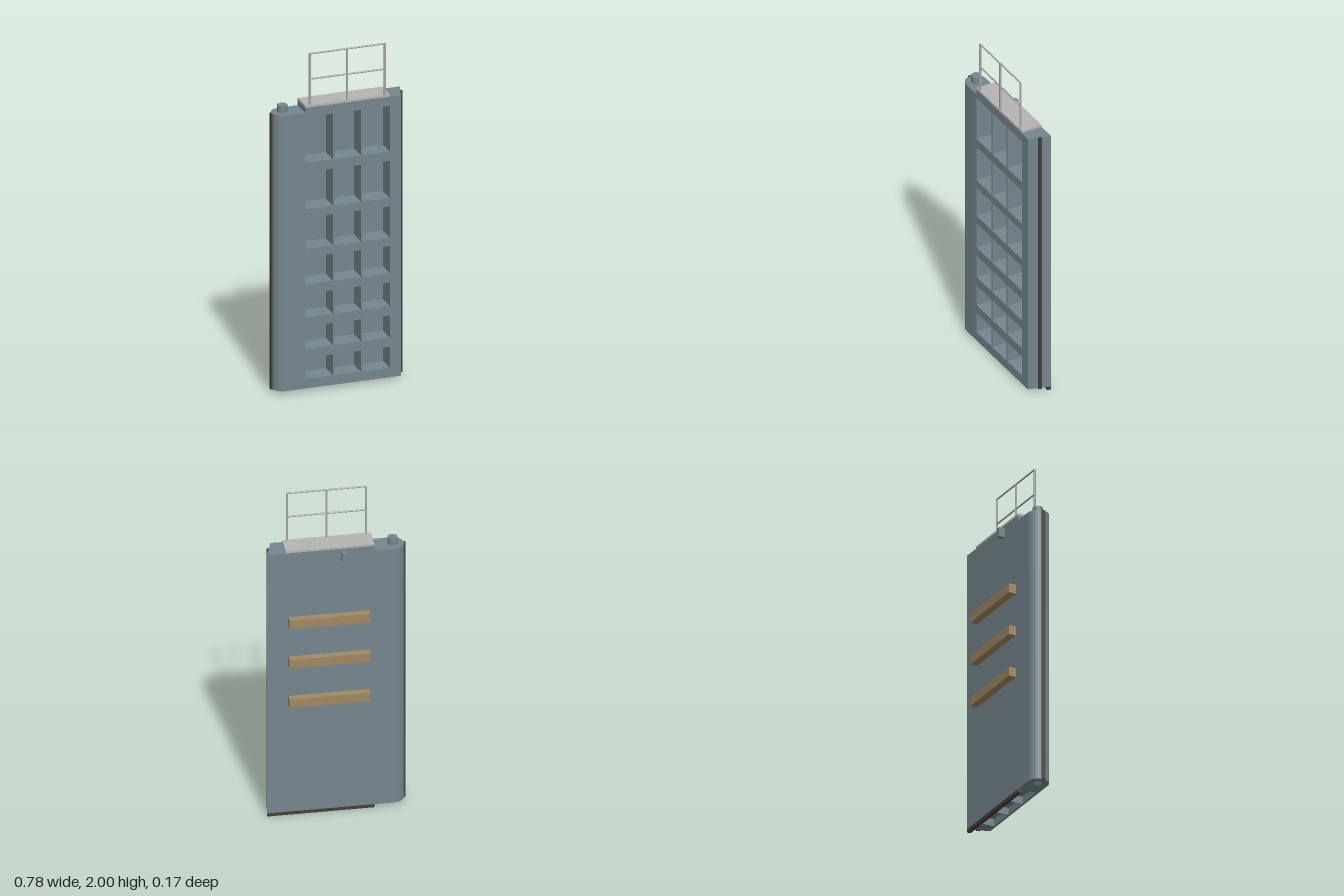
import * as THREE from 'three';
import { toCreasedNormals } from 'three/addons/utils/BufferGeometryUtils.js';

const material = (name, color) => {
  const m = new THREE.MeshStandardMaterial({ color });
  m.name = name;
  return m;
};

export function createModel() {
  const steel = material('blue grey steel', 0x74868d);
  const timber = material('fender timber', 0xa08862);
  const deck = material('light grey deck', 0xb4b4b2);
  const rail = material('railing grey', 0xa9abab);
  const rubber = material('dark seal', 0x453f3a);

  const model = new THREE.Group();
  model.name = 'lockGateLeaf';

  const add = (name, geometry, mat, parent = model) => {
    const mesh = new THREE.Mesh(geometry, mat);
    mesh.name = name;
    parent.add(mesh);
    return mesh;
  };
  const group = (name) => {
    const g = new THREE.Group();
    g.name = name;
    model.add(g);
    return g;
  };
  // Box given by its lower and upper corners
  const box = (name, [x0, y0, z0], [x1, y1, z1], mat, parent) => {
    const mesh = add(name, new THREE.BoxGeometry(x1 - x0, y1 - y0, z1 - z0), mat, parent);
    mesh.position.set((x0 + x1) / 2, (y0 + y1) / 2, (z0 + z1) / 2);
    return mesh;
  };
  // Plan outline (x, -z) raised from y0 to y1
  const prism = (name, shape, y0, y1, mat) => {
    const g = new THREE.ExtrudeGeometry(shape, { depth: y1 - y0, bevelEnabled: false, curveSegments: 24 });
    g.rotateX(-Math.PI / 2).translate(0, y0, 0);
    return add(name, toCreasedNormals(g, 0.6), mat);
  };
  const cylinder = (name, r, h, x, y, z, mat, parent, sides = 32) => {
    const mesh = add(name, new THREE.CylinderGeometry(r, r, h, sides), mat, parent);
    mesh.position.set(x, y, z);
    return mesh;
  };

  const back = -0.042, front = 0.083, left = -0.21, right = 0.285;
  const bottom = 0.02, top = 1.68;

  // Rounded heel post with its pivot pin and socket
  const heel = new THREE.Shape();
  heel.moveTo(left, -front);
  heel.lineTo(left, -back);
  heel.lineTo(-0.322, -back);
  heel.absarc(-0.322, -0.0205, 0.0625, Math.PI / 2, Math.PI * 1.5, false);
  heel.closePath();
  prism('heelPost', heel, bottom, 1.65, steel);
  cylinder('pivotPin', 0.028, 0.045, -0.322, 1.67, 0.02, steel);
  cylinder('pivotSocket', 0.022, 0.006, -0.322, 0.0215, 0.02, rail);

  // Slanted mitre post
  const mitre = new THREE.Shape([
    new THREE.Vector2(right, -front), new THREE.Vector2(0.35, -front),
    new THREE.Vector2(0.39, -back), new THREE.Vector2(right, -back),
  ]);
  prism('mitrePost', mitre, bottom, top, steel);

  // Skin plate and horizontal girders between the cells
  const skin = back + 0.012;
  box('skinPlate', [left, bottom, back], [right, top, skin], steel);
  const cells = [[0.075, 0.2], [0.255, 0.385], [0.44, 0.58], [0.635, 0.795],
    [0.845, 1.03], [1.08, 1.3], [1.355, 1.625]];
  const girders = group('girders');
  cells.forEach(([, y], i) => {
    const next = i < cells.length - 1 ? cells[i + 1][0] : top;
    box('girder', [left, y, skin], [right, next, front], steel, girders);
  });
  // Lowest girder is open underneath
  box('bottomWeb', [left, 0.063, skin], [right, 0.075, front], steel, girders);
  box('bottomFlange', [left, bottom, front - 0.012], [right, 0.063, front], steel, girders);

  // Vertical ribs
  const ribs = group('ribs');
  for (const x of [-0.0435, 0.1205]) {
    box('rib', [x - 0.004, bottom, skin], [x + 0.004, 1.63, front - 0.0005], steel, ribs);
  }

  // Seals along both posts and the sill
  box('heelSeal', [-0.393, bottom, 0.01], [-0.38, 1.65, 0.031], rubber);
  const mitreSeal = add('mitreSeal', new THREE.BoxGeometry(0.014, top - bottom, 0.021), rubber);
  mitreSeal.position.set(0.374, (top + bottom) / 2, 0.02);
  mitreSeal.rotation.y = -0.31;
  box('sillSeal', [left, 0, back], [0.387, bottom, -0.021], rubber);

  // Walkway and railing
  box('walkway', [left, top, back], [right, 1.693, front], deck);
  const railing = group('railing');
  const posts = [-0.182, 0.037, 0.258];
  for (const x of posts) cylinder('railPost', 0.006, 0.305, x, 1.8435, 0.076, rail, railing, 12);
  for (const y of [1.845, 1.995]) {
    const bar = cylinder('handrail', 0.005, 0.44, 0.038, y, 0.076, rail, railing, 12);
    bar.rotation.z = Math.PI / 2;
  }

  // Timber fenders and lifting bracket on the back
  const fenders = group('fenders');
  for (const y of [0.737, 0.99, 1.243]) {
    box('fender', [-0.182, y - 0.027, -0.084], [0.271, y + 0.027, back], timber, fenders);
  }
  box('bracket', [-0.055, 1.61, -0.078], [-0.027, 1.664, back], steel);

  return model;
}
